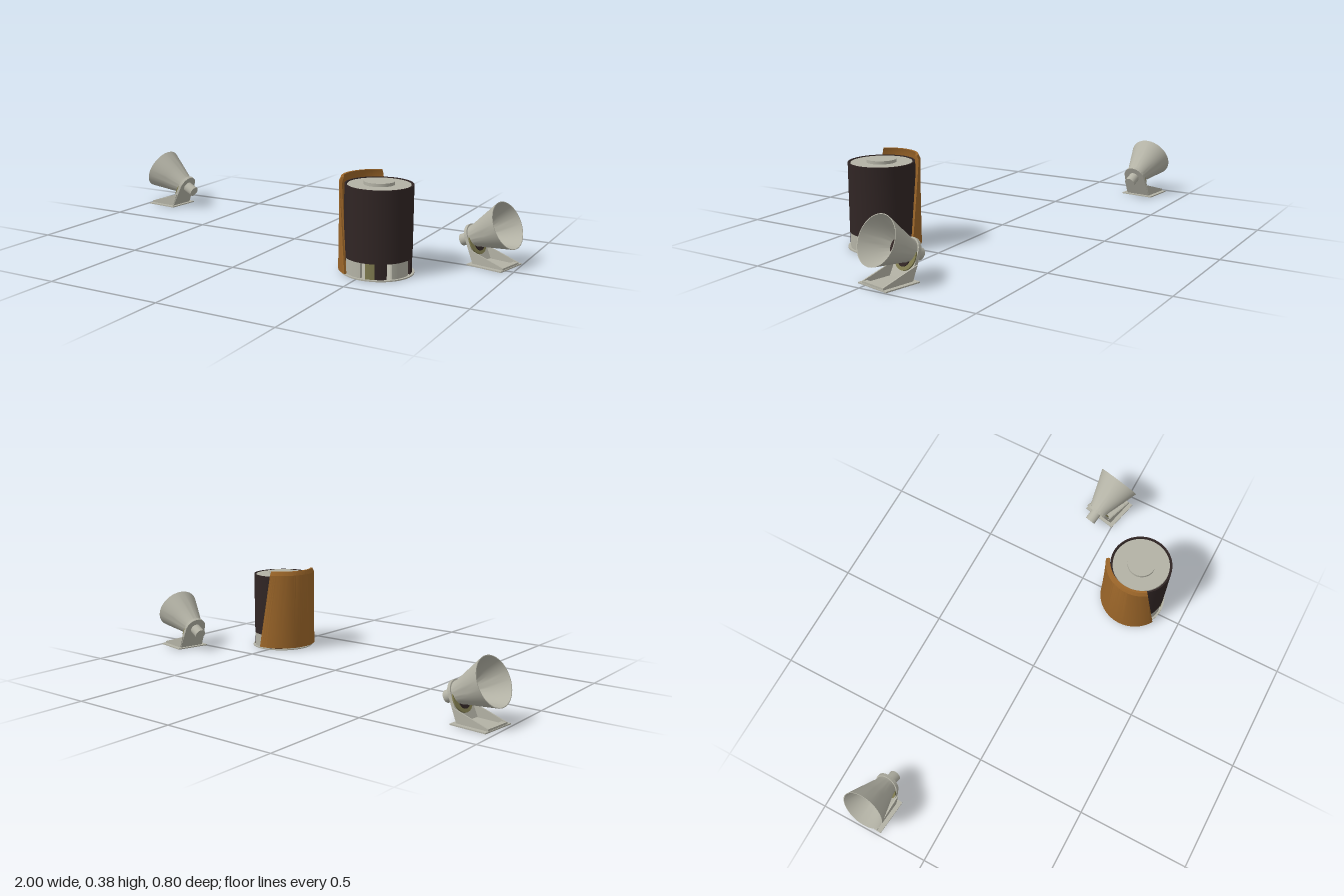
import * as THREE from 'three';
import { toCreasedNormals } from 'three/addons/utils/BufferGeometryUtils.js';

const material = (name, color, side = THREE.FrontSide) => {
  const m = new THREE.MeshStandardMaterial({ color, side });
  m.name = name;
  return m;
};
const rad = THREE.MathUtils.degToRad;

export function createModel() {
  const grey = material('warm grey', 0xb3b2a5);
  const dark = material('dark brown', 0x302524);
  const wood = material('wood brown', 0x9c6629, THREE.DoubleSide);
  const olive = material('olive', 0x7f7b4f);

  const add = (parent, name, geometry, mat, x = 0, y = 0, z = 0) => {
    const mesh = new THREE.Mesh(geometry, mat);
    mesh.name = name;
    mesh.position.set(x, y, z);
    parent.add(mesh);
    return mesh;
  };
  const lathe = (pts) =>
    toCreasedNormals(new THREE.LatheGeometry(pts.map((p) => new THREE.Vector2(...p)), 48), 0.5);
  const disc = (r, h) => new THREE.CylinderGeometry(r, r, h, 48);

  // Ring sector standing below its origin, angles in degrees from +x towards +z
  const sector = (from, to, inner, outer, height) => {
    const s = new THREE.Shape();
    s.absarc(0, 0, outer, rad(from), rad(to), false);
    s.absarc(0, 0, inner, rad(to), rad(from), true);
    return new THREE.ExtrudeGeometry(s, { depth: height, bevelEnabled: false, curveSegments: 8 })
      .rotateX(Math.PI / 2);
  };

  // Curved outer panel whose side edges taper inwards towards the top
  const panelGeometry = () => {
    const profile = [[0.157, 0.012], [0.157, 0.365], [0.149, 0.384],
      [0.139, 0.384], [0.147, 0.36], [0.147, 0.012]];
    const steps = 32, n = profile.length, pos = [], index = [];
    for (let j = 0; j <= steps; j++) {
      for (const [r, y] of profile) {
        const half = THREE.MathUtils.mapLinear(y, 0.012, 0.384, 77, 52);
        const a = rad(17.5 + half * (2 * j / steps - 1));
        pos.push(-r * Math.cos(a), y, -r * Math.sin(a));
      }
    }
    for (let j = 0; j < steps; j++) {
      for (let i = 0; i < n; i++) {
        const a = j * n + i, b = j * n + (i + 1) % n;
        index.push(a, b, a + n, b, b + n, a + n);
      }
    }
    // end caps
    for (let i = 0; i < 2; i++) {
      const e = steps * n, o = n - 1 - i;
      index.push(i, o, i + 1, o, o - 1, i + 1);
      index.push(e + i, e + i + 1, e + o, e + o, e + i + 1, e + o - 1);
    }
    const g = new THREE.BufferGeometry();
    g.setAttribute('position', new THREE.Float32BufferAttribute(pos, 3));
    g.setIndex(index);
    g.computeVertexNormals();
    return toCreasedNormals(g, 0.4);
  };

  const model = new THREE.Group();
  model.name = 'speakerSet';

  // Drum-shaped bass unit
  const bass = new THREE.Group();
  bass.name = 'bassUnit';
  bass.position.set(0.527, 0, 0.255);
  model.add(bass);
  add(bass, 'bassBase', disc(0.145, 0.005), grey, 0, 0.0025);
  add(bass, 'bassBody', lathe([[0, 0.067], [0.136, 0.067], [0.136, 0.356],
    [0.129, 0.356], [0.129, 0.34], [0, 0.34]]), dark);
  add(bass, 'bassTop', disc(0.125, 0.014), grey, 0, 0.347);
  add(bass, 'topCap', disc(0.061, 0.02), grey, 0, 0.357);
  for (let i = 0; i < 8; i++) {
    const start = i * 45 + 5;
    if (i === 1) {
      add(bass, 'frontPort', sector(70, 86, 0.12, 0.135, 0.066), olive, 0, 0.067);
      add(bass, 'darkLeg', sector(50, 70, 0.12, 0.135, 0.066), dark, 0, 0.067);
    } else {
      add(bass, i % 2 ? 'darkLeg' : 'greyLeg',
        sector(start, start + 36, 0.12, 0.135, 0.066), i % 2 ? dark : grey, 0, 0.067);
    }
  }
  add(bass, 'outerPanel', panelGeometry(), wood);

  // Horn speaker: local +z is the direction it faces, origin under the mouth centre
  const makeHorn = (name, x, z, yaw) => {
    const unit = new THREE.Group();
    unit.name = name;
    unit.position.set(x, 0, z);
    unit.rotation.y = yaw;
    model.add(unit);

    // foot with lip and side gussets
    add(unit, 'footPlate', new THREE.BoxGeometry(0.16, 0.005, 0.16), grey, 0, 0.0025, -0.055);
    add(unit, 'footLip', new THREE.BoxGeometry(0.122, 0.013, 0.02), grey, 0, 0.0065, 0.012);
    const side = new THREE.Shape([[-0.022, 0], [0.115, 0], [0.142, 0.062], [-0.022, 0.013]]
      .map((p) => new THREE.Vector2(...p)));
    const gusset = new THREE.ExtrudeGeometry(side, { depth: 0.006, bevelEnabled: false })
      .rotateY(Math.PI / 2);
    for (const gx of [-0.061, 0.055]) add(unit, 'footGusset', gusset, grey, gx);

    // tilted head
    const head = new THREE.Group();
    head.name = 'hornHead';
    head.position.y = 0.174;
    head.rotation.x = rad(-25);
    unit.add(head);
    const along = (g) => g.rotateX(Math.PI / 2);
    add(head, 'horn', along(lathe([[0, -0.166], [0.047, -0.166], [0.049, -0.15], [0.073, -0.08],
      [0.1, 0], [0.097, 0], [0.067, -0.07], [0.036, -0.112], [0, -0.112]])), grey);
    add(head, 'throat', along(disc(0.036, 0.006)), dark, 0, 0, -0.11);
    const arch = new THREE.Shape();
    arch.moveTo(-0.06, -0.107);
    arch.lineTo(0.06, -0.107);
    arch.lineTo(0.053, 0);
    arch.absarc(0, 0, 0.053, 0, Math.PI, false);
    arch.closePath();
    const upright = new THREE.ExtrudeGeometry(arch,
      { depth: 0.014, bevelEnabled: false, curveSegments: 24 });
    add(head, 'upright', toCreasedNormals(upright, 0.5), grey, 0, 0, -0.18);
    add(head, 'backDisc', along(disc(0.054, 0.006)), olive, 0, -0.024, -0.163);
    add(head, 'driver', along(disc(0.03, 0.006)), dark, 0, -0.034, -0.159);
    add(head, 'rearKnob', along(disc(0.025, 0.05)), grey, 0, 0, -0.204);
  };
  makeHorn('leftHorn', 0.953, -0.046, Math.atan2(0.974, 0.225));
  makeHorn('rightHorn', -0.955, -0.302, Math.atan2(-0.995, -0.1));

  return model;
}
